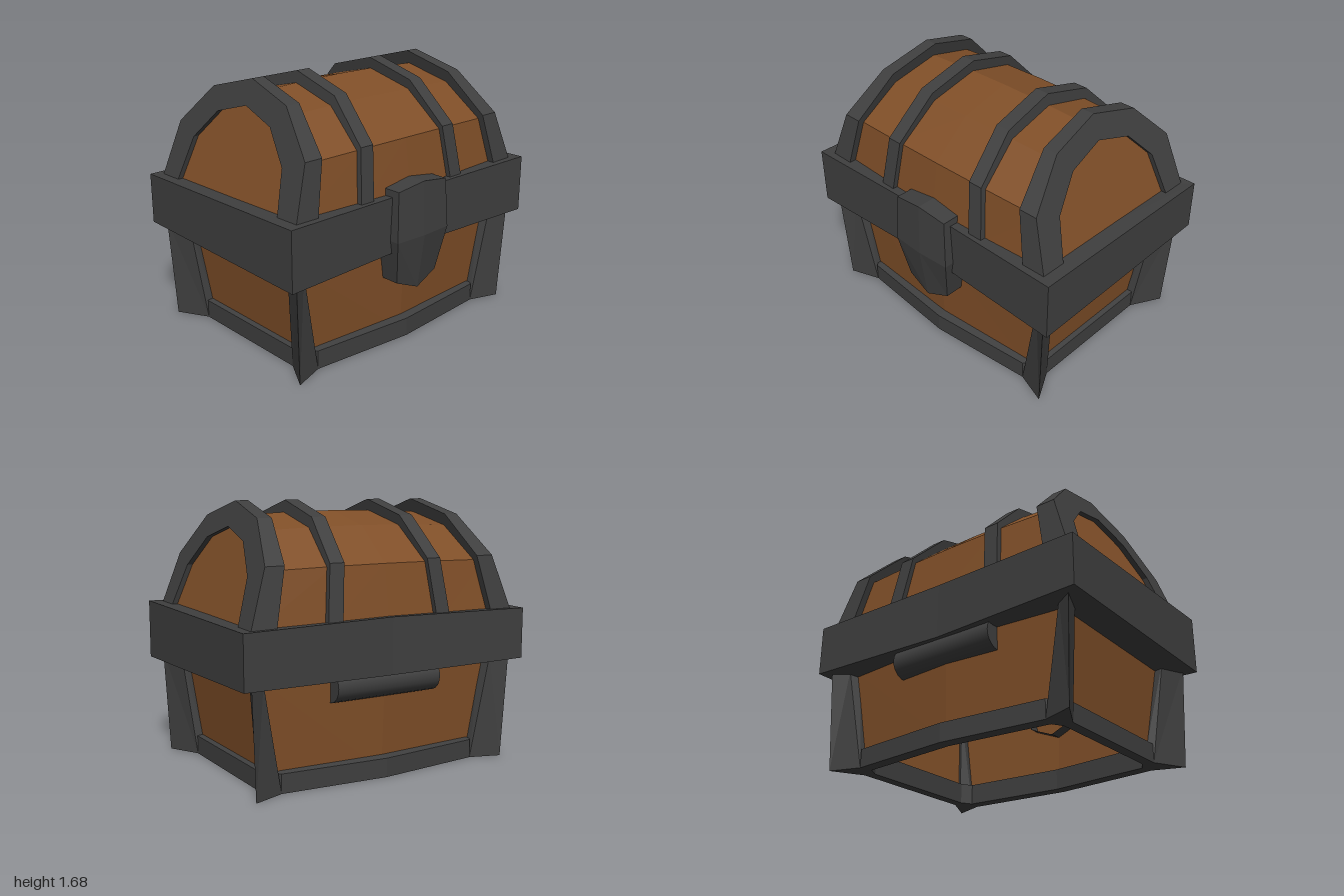
import * as THREE from 'three';

const wood = new THREE.MeshStandardMaterial({ color: 0x804f28, flatShading: true, side: THREE.DoubleSide });
const iron = new THREE.MeshStandardMaterial({ color: 0x3f3f3f, flatShading: true, side: THREE.DoubleSide });

// Skin a run of cross-sections. wrap: each section is a closed loop;
// ring: last section joins the first; caps: close the ends with fans.
function loft(sections, { wrap = true, ring = false, caps = [] } = {}) {
  const tris = [];
  const n = sections[0].length, m = sections.length;
  for (let i = 0; i < (ring ? m : m - 1); i++) {
    const a = sections[i], b = sections[(i + 1) % m];
    for (let j = 0; j < (wrap ? n : n - 1); j++) {
      const k = (j + 1) % n;
      tris.push([a[j], b[j], b[k]], [a[j], b[k], a[k]]);
    }
  }
  for (const c of caps) {
    const s = c ? sections[m - 1] : sections[0];
    const mid = [0, 1, 2].map(q => s.reduce((t, p) => t + p[q], 0) / n);
    for (let j = 0; j < n; j++) {
      const k = (j + 1) % n;
      tris.push(c ? [mid, s[j], s[k]] : [mid, s[k], s[j]]);
    }
  }
  // turn the faces outward
  const o = new THREE.Vector3(...sections[0][0]);
  const volume = tris.reduce((t, f) => {
    const [a, b, c] = f.map(p => new THREE.Vector3(...p).sub(o));
    return t + a.dot(b.cross(c));
  }, 0);
  if (volume < 0) tris.forEach(f => f.reverse());
  const g = new THREE.BufferGeometry();
  g.setAttribute('position', new THREE.Float32BufferAttribute(tris.flat(2), 3));
  g.computeVertexNormals();
  return g;
}

// Complete a front half outline with its half-turn copy
const around = half => [...half, ...half.map(p => p.map(v => -v))];
const lerp = THREE.MathUtils.lerp;

export function createModel() {
  const model = new THREE.Group();
  const chest = new THREE.Group();
  chest.name = 'chest';
  chest.position.z = -0.02;
  model.add(chest);
  const add = (name, geometry, material) => {
    const mesh = new THREE.Mesh(geometry, material);
    mesh.name = name;
    chest.add(mesh);
    return mesh;
  };

  // Wooden walls, flaring upward and bowed at front and back, open below
  const wall = (x, z, bow, y) => around([[x, z], [0, z + bow], [-x, z]]).map(p => [p[0], y, p[1]]);
  add('bodyWalls', loft([wall(0.745, 0.52, 0.05, 0.03), wall(0.82, 0.55, 0.05, 0.68)]), wood);

  // Bottom frame
  const outer = around([[0.79, 0.44], [0.7, 0.57], [0, 0.63], [-0.7, 0.57], [-0.79, 0.44]]);
  const inner = around([[0.72, 0.42], [0.68, 0.49], [0, 0.55], [-0.68, 0.49], [-0.72, 0.42]]);
  add('bottomFrame', loft(outer.map(([x, z], i) => {
    const [u, w] = inner[i];
    return [[x, 0, z], [x, 0.12, z], [u, 0.135, w], [u, 0, w]];
  }), { ring: true }), iron);

  // Corner posts with spurred corners
  const postLow = [[0.9, 0.64], [0.7, 0.57], [0.69, 0.5], [0.73, 0.42], [0.79, 0.44]];
  const postHigh = [[0.93, 0.66], [0.825, 0.6], [0.8, 0.53], [0.8, 0.5], [0.865, 0.5]];
  for (const sx of [1, -1]) {
    for (const sz of [1, -1]) {
      const at = (pts, y) => pts.map(([x, z]) => [x * sx, y, z * sz]);
      add('cornerPost', loft([at(postLow, 0), at(postHigh, 0.67)], { caps: [0, 1] }), iron);
    }
  }

  // Broad band around the rim, pinched at the middle of front and back
  const bandOut = around([[1, 0.71], [0, 0.68], [-1, 0.71]]);
  const bandIn = around([[0.8, 0.54], [0, 0.57], [-0.8, 0.54]]);
  add('rimBand', loft(bandOut.map(([x, z], i) => {
    const [u, w] = bandIn[i];
    const corner = Math.abs(x), tilt = 0.012 * corner * Math.sign(z);
    const low = 0.648 - tilt, high = 1 + tilt;
    return [[x, low, z], [x, high, z], [u, high - 0.005, w], [u, low - 0.02 * corner, w]];
  }), { ring: true }), iron);

  // Wooden lid: faceted arch with leaning ends, slightly fuller in the middle
  const mirrorArch = half => [...half, ...half.slice(0, -1).reverse().map(([z, y]) => [-z, y])];
  const lidArch = mirrorArch([[0.615, 0.96], [0.565, 1.3], [0.32, 1.51], [0, 1.59]]);
  add('lid', loft([-1, -0.45, 0, 0.45, 1].map(s => {
    const k = 1 + 0.035 * (1 - s * s);
    return lidArch.map(([z, y]) => [s * (0.89 - 0.34 * (y - 1)), 1 + (y - 1) * k, z * k]);
  }), { caps: [0, 1] }), wood);

  // Iron ribs over the lid
  const ribOut = mirrorArch([[0.665, 0.97], [0.61, 1.33], [0.35, 1.585], [0, 1.68]]);
  const ribIn = mirrorArch([[0.5, 0.97], [0.435, 1.263], [0.255, 1.45], [0, 1.525]]);
  // each rib: outside and inside x at the rim, then at the top
  const ribs = { endRib: [0.925, 0.765, 0.695, 0.61], middleRib: [0.435, 0.335, 0.355, 0.26] };
  for (const [name, [a0, b0, a1, b1]] of Object.entries(ribs)) {
    for (const s of [1, -1]) {
      const x = (p, q, y) => s * lerp(p, q, (y - 1) / 0.68);
      add(name, loft(ribOut.map(([z, y], i) => {
        const [w, v] = ribIn[i];
        return [[x(a0, a1, y), y, z], [x(b0, b1, y), y, z], [x(b0, b1, v), v, w], [x(a0, a1, v), v, w]];
      }), { caps: [0, 1] }), iron);
    }
  }

  // Lock plate: bowed shield rows of [y at edge, y at middle, half width, z]
  const rows = [[1.045, 1.075, 0.205, 0.735], [0.73, 0.73, 0.22, 0.75], [0.44, 0.37, 0.17, 0.7]];
  add('lockPlate', loft(rows.map(([y, m, w, z]) =>
    [[-w, y, z], [0, m, z + 0.012], [w, y, z]]), { wrap: false }), iron);
  const left = rows.map(([y, , w, z]) => [-w, y, z]);
  const right = rows.map(([y, , w, z]) => [w, y, z]);
  const rim = [[0, rows[0][1], rows[0][3] + 0.012], ...right,
    [0, rows[2][1], rows[2][3] + 0.012], ...left.reverse()];
  add('lockRim', loft([rim, rim.map(([x, y]) => [x, y, 0.5])]), iron);

  // Hinge barrel under the band at the back
  const hingeIron = iron.clone();
  hingeIron.flatShading = false;
  const hinge = add('hingeBarrel', new THREE.CylinderGeometry(0.1, 0.1, 0.74, 20), hingeIron);
  hinge.rotation.z = Math.PI / 2;
  hinge.position.set(0, 0.6, -0.565);

  return model;
}
